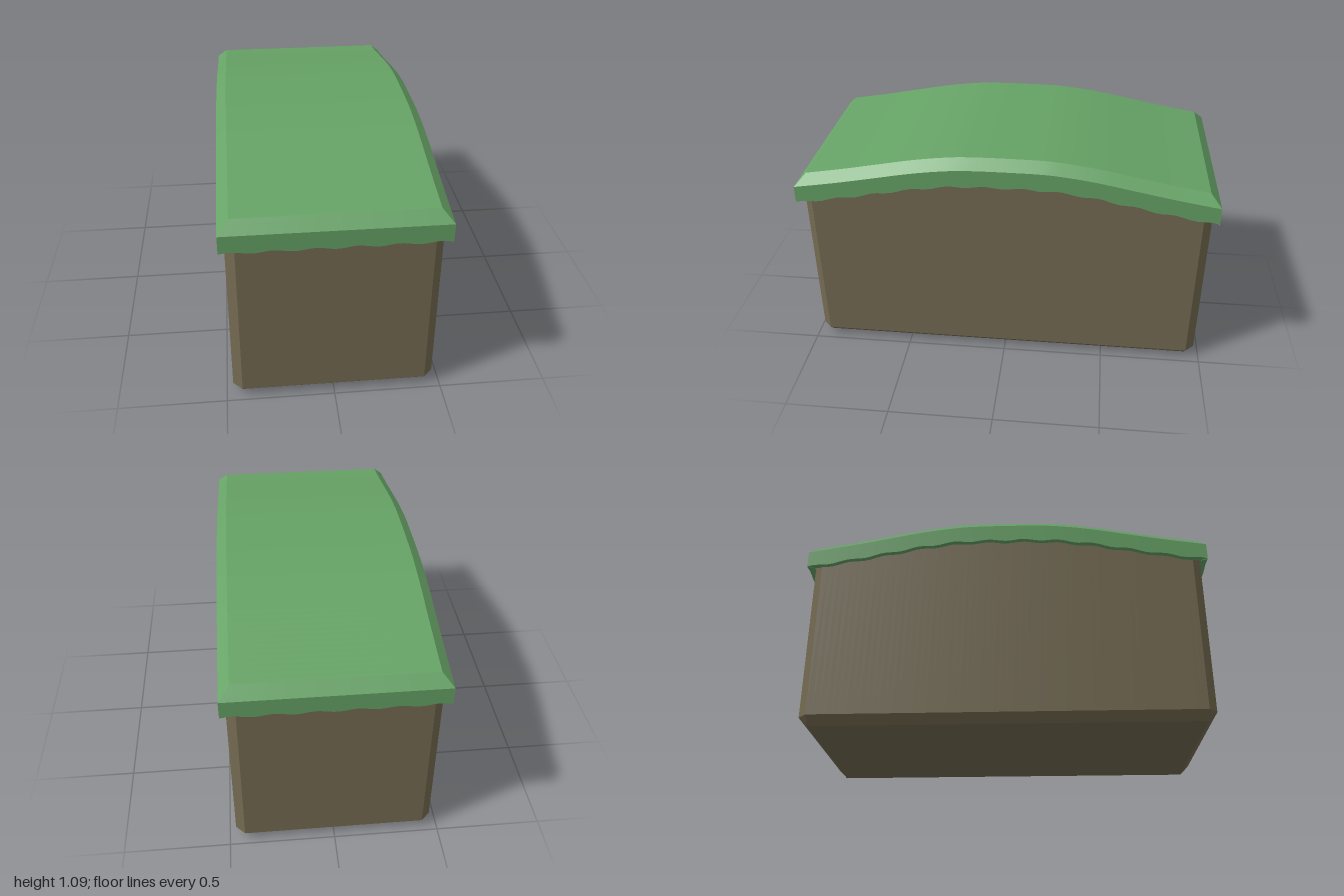
import * as THREE from 'three';
import { mergeGeometries } from 'three/addons/utils/BufferGeometryUtils.js';

const SEG = 60;
const BEVEL = 0.043;

// Height of the hill crown along its length
const hill = new THREE.SplineCurve([
  [-1, 0.957], [-0.8, 0.99], [-0.6, 1.028], [-0.45, 1.057], [-0.3, 1.079], [-0.15, 1.09],
  [0.15, 1.09], [0.3, 1.079], [0.45, 1.057], [0.6, 1.028], [0.8, 0.99], [1, 0.957],
].map(([z, y]) => new THREE.Vector2(z, y))).getPoints(220);

function hillY(z) {
  const i = Math.max(1, hill.findIndex((p) => p.x >= z - 1e-6));
  const a = hill[i - 1], b = hill[i];
  return THREE.MathUtils.mapLinear(z, a.x, b.x, a.y, b.y);
}

// Surface between two rows of points, smooth along the rows
function strip(lower, upper) {
  const n = lower.length;
  const index = [];
  for (let i = 0; i < n - 1; i++) index.push(i, i + 1, n + i + 1, i, n + i + 1, n + i);
  const geo = new THREE.BufferGeometry().setFromPoints([...lower, ...upper]);
  geo.setIndex(index);
  geo.computeVertexNormals();
  return geo;
}

// Row of points from corner a to corner b ([x, z]) with height y(x, z, along)
function row(a, b, y, n = SEG) {
  return Array.from({ length: n + 1 }, (_, i) => {
    const x = THREE.MathUtils.lerp(a[0], b[0], i / n);
    const z = THREE.MathUtils.lerp(a[1], b[1], i / n);
    return new THREE.Vector3(x, y(x, z), z);
  });
}

// Rectangle corners, anticlockwise from above
const rect = (x, z) => [[-x, z], [x, z], [x, -z], [-x, -z]];

function part(name, geometries, color) {
  const material = new THREE.MeshStandardMaterial({ color, side: THREE.DoubleSide });
  const mesh = new THREE.Mesh(mergeGeometries(geometries), material);
  mesh.name = name;
  return mesh;
}

// Earth block with bevelled uprights and bottom edges
function earthBlock() {
  const X = 0.47, Z = 0.975;
  const base = rect(X - BEVEL, Z - BEVEL);
  const outline = [];
  base.forEach(([x, z], i) => {
    const onEnd = [x, Math.sign(z) * Z], onSide = [Math.sign(x) * X, z];
    outline.push(...(i % 2 ? [onEnd, onSide] : [onSide, onEnd]));
  });
  const geos = [];
  outline.forEach((a, i) => {
    const b = outline[(i + 1) % 8];
    const low = row(base[i >> 1], base[((i + 1) % 8) >> 1], () => 0);
    const mid = row(a, b, () => BEVEL);
    geos.push(strip(low, mid), strip(mid, row(a, b, (x, z) => hillY(z) - 0.09)));
  });
  // Underside
  geos.push(strip(row(base[3], base[2], () => 0, 1), row(base[0], base[1], () => 0, 1)));
  return part('earthBlock', geos, 0x756b52);
}

// Turf cap with bevelled rim and a wavy hanging edge
function turfCap() {
  const top = rect(0.445, 0.95), rim = rect(0.495, 1), inner = rect(0.465, 0.97);
  const geos = [];
  for (let i = 0; i < 4; i++) {
    const j = (i + 1) % 4;
    const wave = (x, z) => -0.005 * Math.cos((i % 2 ? z : x) * 2 * Math.PI / 0.177);
    const hem = (x, z) => hillY(z) - 0.13 + wave(x, z);
    const crown = row(top[i], top[j], (x, z) => hillY(z));
    const edge = row(rim[i], rim[j], (x, z) => hillY(z) - 0.045);
    const lip = row(rim[i], rim[j], hem);
    const under = row(inner[i], inner[j], hem);
    geos.push(strip(edge, crown), strip(lip, edge), strip(under, lip));
  }
  // Rolling top
  const profile = (x, z) => hillY(z);
  geos.push(strip(row(top[1], top[2], profile), row(top[0], top[3], profile)));
  return part('turfCap', geos, 0x66a366);
}

export function createModel() {
  const group = new THREE.Group();
  group.name = 'grassyHillBlock';
  group.add(earthBlock(), turfCap());
  return group;
}
